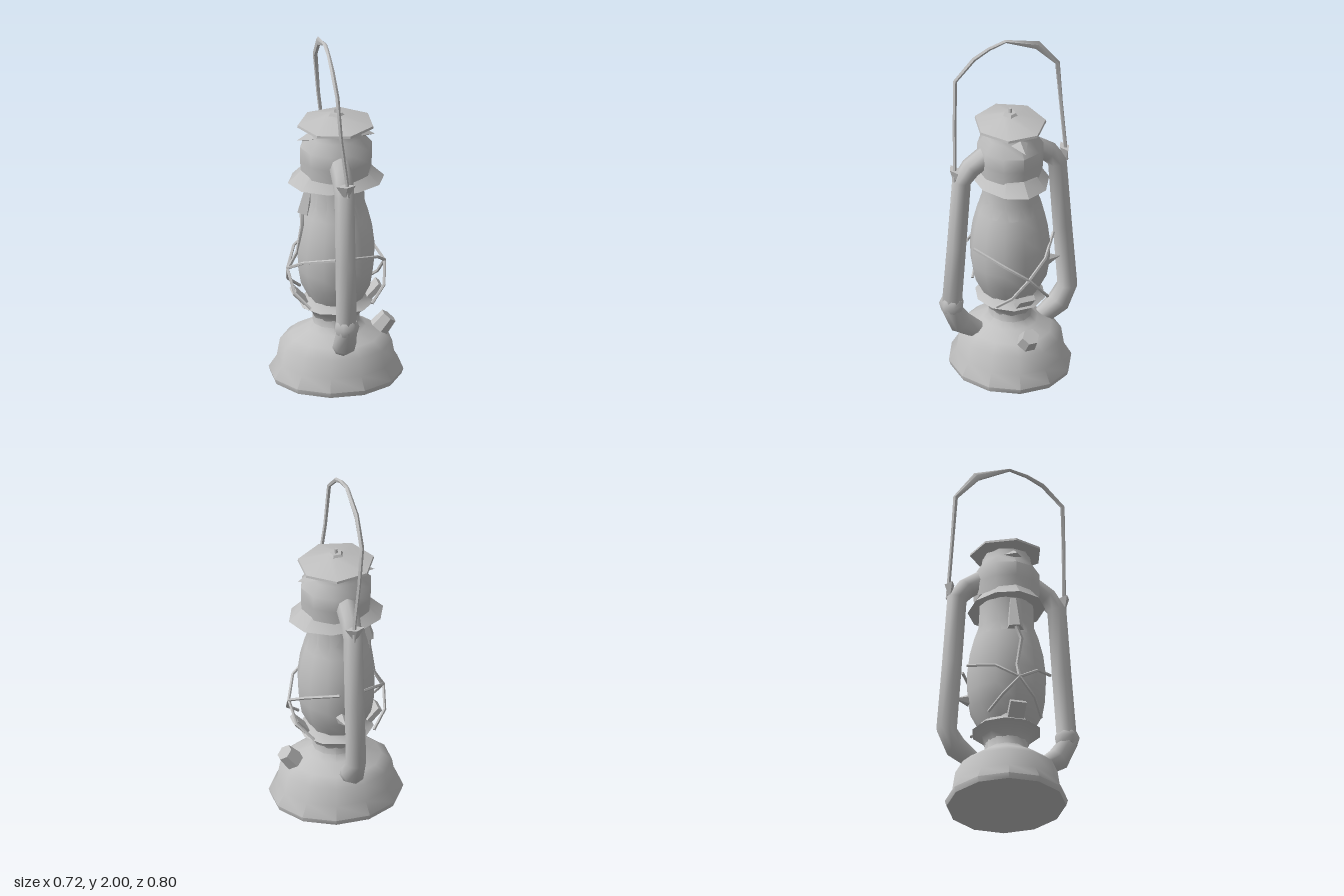
import * as THREE from 'three';
import { toCreasedNormals } from 'three/addons/utils/BufferGeometryUtils.js';

export function createModel() {
  const group = new THREE.Group();
  const metal = new THREE.MeshStandardMaterial({ color: 0xc0c0c0, side: THREE.DoubleSide });
  metal.name = 'grey metal';

  function add(name, geometry, crease = 0.9) {
    const mesh = new THREE.Mesh(toCreasedNormals(geometry, crease), metal);
    mesh.name = name;
    group.add(mesh);
    return mesh;
  }

  // Turned part: [radius, y] profile, squashed in z
  function turned(name, profile, sides, zScale, phase = 0, crease = 0.9) {
    const pts = profile.map(([r, y]) => new THREE.Vector2(r, y));
    const g = new THREE.LatheGeometry(pts, sides, phase);
    g.scale(1, 1, zScale);
    return add(name, g, crease);
  }

  // Swept bar: each point is [x, y, z, width in plane, width across]
  function swept(name, path, sides) {
    const p = path.map((a) => new THREE.Vector3(a[0], a[1], a[2]));
    const pos = [], index = [], xAxis = new THREE.Vector3(1, 0, 0);
    const last = p.length - 1;
    const ring = (i, scale) => {
      const t = p[Math.min(i + 1, last)].clone().sub(p[Math.max(i - 1, 0)]).normalize();
      const n = xAxis.clone().cross(t).normalize();
      const b = t.clone().cross(n);
      const w = path[i][3] * scale, d = (path[i][4] ?? path[i][3]) * scale;
      for (let j = 0; j < sides; j++) {
        const a = (j / sides) * Math.PI * 2;
        const v = p[i].clone().addScaledVector(n, Math.cos(a) * w).addScaledVector(b, Math.sin(a) * d);
        pos.push(v.x, v.y, v.z);
      }
    };
    ring(0, 0);
    p.forEach((_, i) => ring(i, 1));
    ring(last, 0);
    for (let i = 0; i < last + 2; i++) {
      for (let j = 0; j < sides; j++) {
        const a = i * sides + j, b = i * sides + (j + 1) % sides;
        index.push(a, b, b + sides, a, b + sides, a + sides);
      }
    }
    const g = new THREE.BufferGeometry();
    g.setAttribute('position', new THREE.Float32BufferAttribute(pos, 3));
    g.setIndex(index);
    return add(name, g, 1.1);
  }

  // Fuel tank and burner neck
  turned('fuelTank', [[0, 0], [0.36, 0], [0.37, 0.03], [0.325, 0.1], [0.308, 0.2], [0.25, 0.245],
    [0.165, 0.29], [0.13, 0.32], [0.13, 0.39]], 12, 0.9, 0.26);
  turned('burnerFlange', [[0.13, 0.36], [0.15, 0.4], [0.208, 0.435], [0.16, 0.47], [0.15, 0.5]], 10, 0.92);

  // Glass globe and chimney collar
  turned('globe', [[0.15, 0.47], [0.195, 0.56], [0.21, 0.65], [0.215, 0.76], [0.2, 0.88], [0.175, 0.98],
    [0.15, 1.05], [0.145, 1.2]], 12, 1.04);
  turned('chimneyCollar', [[0.178, 0.98], [0.158, 1.05], [0.15, 1.19]], 10, 1);

  // Hood with flared skirt
  turned('hoodSkirt', [[0.14, 1.19], [0.268, 1.17], [0.205, 1.23], [0.19, 1.25]], 10, 0.77, 0.31, 0.5);
  turned('hood', [[0.195, 1.22], [0.2, 1.3], [0.2, 1.38], [0.15, 1.44], [0.14, 1.5]], 10, 0.9, 0.31);

  // Cap and finial
  turned('cap', [[0.1, 1.47], [0.215, 1.5], [0.212, 1.513], [0.05, 1.56], [0, 1.565]], 7, 0.92, 0.2, 0.5);
  turned('finial', [[0.05, 1.555], [0.035, 1.575], [0.012, 1.575], [0.01, 1.6], [0, 1.602]], 5, 0.9);

  // Side air tubes, lugs and cuffs
  for (const s of [1, -1]) {
    const side = s > 0 ? 'front' : 'back';
    swept(side + 'AirTube', [[-0.01, 1.34, s * 0.12, 0.06], [-0.01, 1.27, s * 0.23, 0.058],
      [-0.01, 1.2, s * 0.283, 0.055], [-0.01, 0.8, s * 0.312, 0.056], [-0.01, 0.41, s * 0.342, 0.058],
      [-0.01, 0.31, s * 0.29, 0.065], [-0.01, 0.24, s * 0.19, 0.05]], 8);
    const lug = add(side + 'HandleLug', new THREE.ConeGeometry(0.055, 0.09, 4), 0.3);
    lug.scale.z = 0.5;
    lug.rotation.x = Math.PI;
    lug.position.set(-0.01, 1.235, s * 0.325);
  }
  swept('frontTubeCuff', [[-0.01, 0.47, 0.338, 0.058], [-0.01, 0.44, 0.341, 0.07], [-0.01, 0.4, 0.338, 0.06]], 7);

  // Carrying handle
  swept('handle', [[0, 1.21, 0.33, 0.01], [-0.005, 1.3, 0.325, 0.011], [-0.035, 1.55, 0.314, 0.011],
    [-0.054, 1.81, 0.303, 0.012], [-0.06, 1.92, 0.19, 0.013], [-0.06, 1.965, 0.1, 0.011],
    [-0.062, 1.99, 0, 0.008, 0.012], [-0.06, 1.925, -0.185, 0.026, 0.013], [-0.054, 1.79, -0.303, 0.014],
    [-0.035, 1.55, -0.315, 0.011], [-0.005, 1.3, -0.327, 0.011], [0, 1.2, -0.334, 0.01]], 5);

  // Crossed guard wires, vents and clips on both sides
  for (const m of [1, -1]) {
    const side = m > 0 ? 'left' : 'right';
    for (const s of [1, -1]) {
      swept(side + 'GuardWire', [[m * 0.05, 0.79, s * 0.235, 0.009], [m * 0.21, 0.735, s * 0.12, 0.009],
        [m * 0.27, 0.655, 0, 0.009], [m * 0.25, 0.55, s * -0.09, 0.009],
        [m * 0.17, 0.47, s * -0.15, 0.009]], 5);
    }
    const clip = add(side + 'HoodClip', new THREE.ConeGeometry(0.05, 0.1, 4), 0.3);
    clip.rotation.z = m * -1.8;
    clip.position.set(m * 0.17, 1.435, 0);
    clip.scale.set(0.7, 1, 1.1);
    // Foot joining the wires to the burner
    const foot = add(side + 'WireFoot', new THREE.BoxGeometry(0.03, 0.1, 0.09), 0.3);
    foot.rotation.z = m * -0.75;
    foot.position.set(m * 0.205, 0.485, 0);
  }

  // Filler cap on the tank shoulder
  const filler = add('fillerCap', new THREE.CylinderGeometry(0.048, 0.058, 0.09, 6), 0.5);
  filler.rotation.z = -0.7;
  filler.position.set(0.265, 0.28, 0);

  // Globe lifting bracket and rod
  const bracket = add('liftBracket', new THREE.CylinderGeometry(0.025, 0.05, 0.19, 5), 0.5);
  bracket.rotation.z = -0.17;
  bracket.position.set(-0.155, 1.08, 0);
  swept('liftRod', [[-0.19, 1.0, 0, 0.012], [-0.195, 0.92, 0.03, 0.012], [-0.215, 0.75, 0, 0.01],
    [-0.262, 0.66, 0, 0.01]], 5);

  // Wick knob
  const knob = add('wickKnob', new THREE.ConeGeometry(0.035, 0.08, 5), 0.3);
  knob.rotation.x = -Math.PI / 2;
  knob.position.set(0.03, 0.62, -0.245);

  return group;
}
